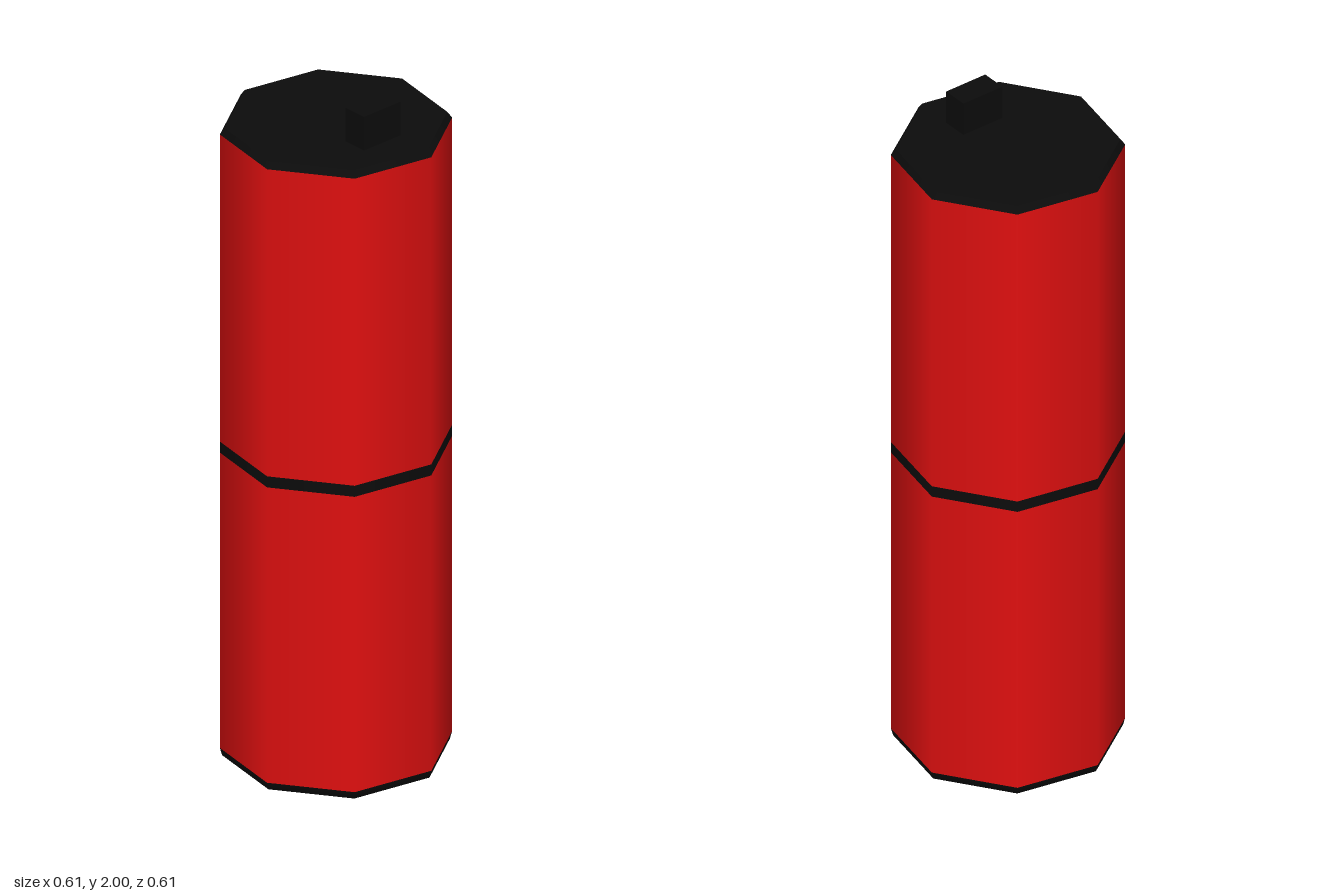
import * as THREE from 'three';

const SIDES = 8;
const RADIUS = 0.313;
const TURN = 0.2; // the octagon is turned slightly off the axes

export function createModel() {
  const model = new THREE.Group();
  const red = new THREE.MeshStandardMaterial({ color: 0xe01010 });
  red.name = 'red';
  const black = new THREE.MeshStandardMaterial({ color: 0x0c0c0c });
  black.name = 'black';

  const add = (name, geometry, material) => {
    const mesh = new THREE.Mesh(geometry, material);
    mesh.name = name;
    model.add(mesh);
    return mesh;
  };

  // One eight-sided section, profile given as [radius, height] from bottom to top
  const section = (name, profile, material) =>
    add(name, new THREE.LatheGeometry(
      profile.map(([r, y]) => new THREE.Vector2(r, y)), SIDES, TURN), material);

  // Flat closing face, facing up or down
  const face = (name, radius, y, up) => {
    const disc = section(name, up ? [[radius, y], [0, y]] : [[0, y], [radius, y]], black);
    return disc;
  };

  // Base with a chamfered foot
  face('baseFace', 0.215, 0, false);
  section('baseChamfer', [[0.215, 0], [0.307, 0.028], [RADIUS, 0.05]], black);

  // Body halves with a flush dark seam between them
  section('lowerBody', [[RADIUS, 0.05], [RADIUS, 0.932]], red);
  section('seam', [[RADIUS, 0.932], [RADIUS, 0.965]], black);
  section('upperBody', [[RADIUS, 0.965], [RADIUS, 1.882]], red);

  // Lid with a narrow bevel
  section('lidBevel', [[RADIUS, 1.882], [0.3, 1.9]], black);
  face('lidFace', 0.3, 1.9, true);

  // Tab standing on the lid near the front
  add('tab', new THREE.BoxGeometry(0.132, 0.11, 0.074), black).position.set(0, 1.945, 0.145);

  return model;
}
